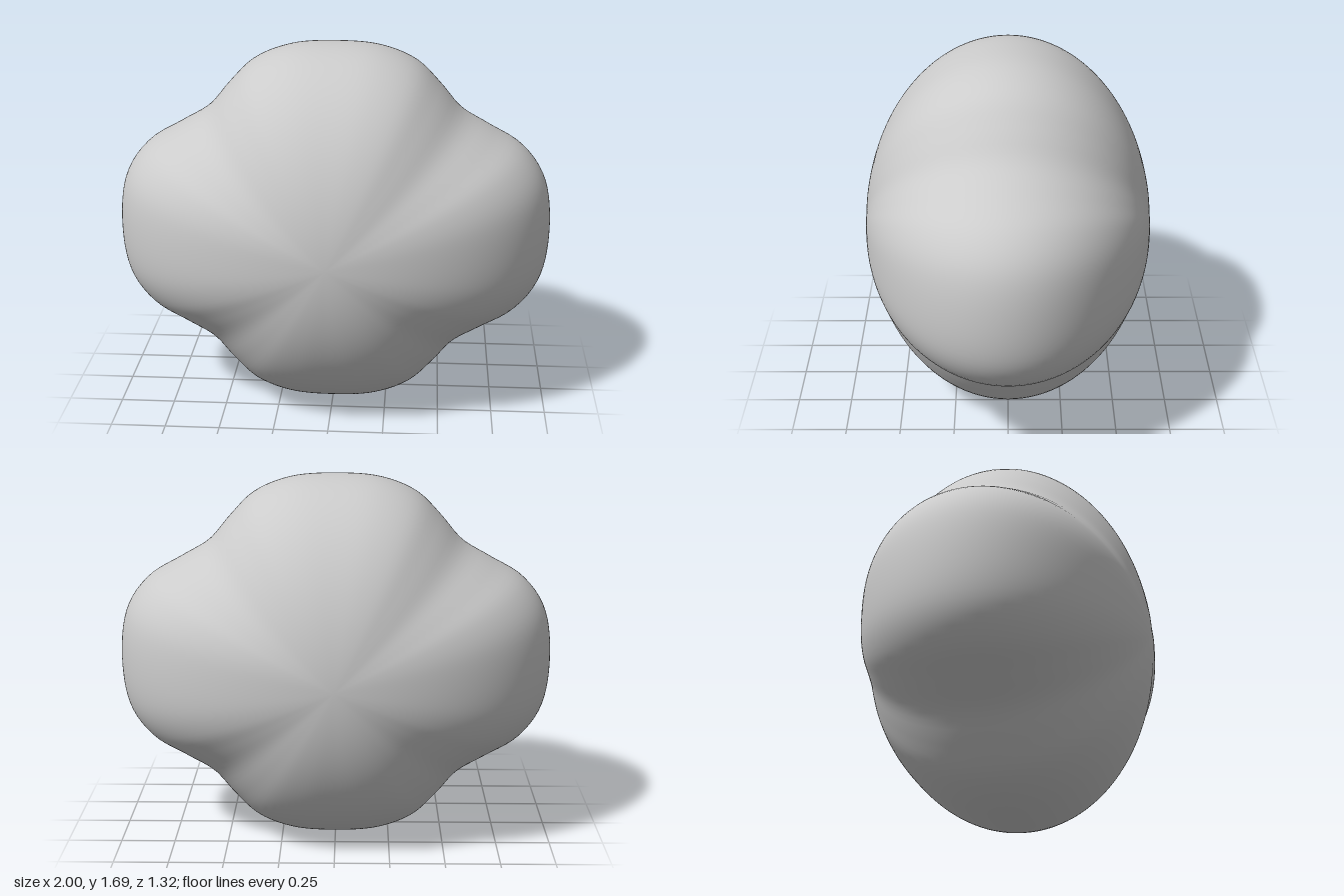
import * as THREE from 'three';
import { mergeVertices } from 'three/addons/utils/BufferGeometryUtils.js';

const HALF_HEIGHT = 0.846;
const HALF_DEPTH = 0.66;

// One quarter of the four-lobed outline, from the side lobe tip to the top lobe tip
const QUARTER = [
  [1, 0], [0.967, 0.23], [0.87, 0.367], [0.72, 0.458], [0.585, 0.54],
  [0.485, 0.655], [0.375, 0.762], [0.21, 0.829], [0, HALF_HEIGHT],
];

// Mirror the quarter into a closed, counter-clockwise curve
function lobedOutline() {
  const mirror = (pts, sx, sy) => pts.map(([x, y]) => [x * sx, y * sy]);
  const back = [...QUARTER].reverse();
  const loop = [
    ...QUARTER.slice(0, -1),
    ...mirror(back, -1, 1).slice(0, -1),
    ...mirror(QUARTER, -1, -1).slice(0, -1),
    ...mirror(back, 1, -1).slice(0, -1),
  ];
  return new THREE.CatmullRomCurve3(loop.map(([x, y]) => new THREE.Vector3(x, y, 0)), true);
}

// Sphere with its poles on z, each ring reshaped to a scaled copy of the outline
function lobedBody() {
  const segments = 160;
  const outline = lobedOutline();
  outline.arcLengthDivisions = 800;
  const ring = outline.getSpacedPoints(segments);

  const geometry = new THREE.SphereGeometry(1, segments, 96);
  geometry.rotateX(Math.PI / 2);
  const { position, uv } = geometry.attributes;
  for (let i = 0; i < position.count; i++) {
    const scale = Math.hypot(position.getX(i), position.getY(i));
    const p = ring[Math.min(segments, Math.max(0, Math.round(uv.getX(i) * segments))) % segments];
    position.setXYZ(i, p.x * scale, p.y * scale, position.getZ(i) * HALF_DEPTH);
  }

  // Weld the seam and poles so the shading is smooth all round
  geometry.deleteAttribute('uv');
  geometry.deleteAttribute('normal');
  const welded = mergeVertices(geometry, 1e-5);
  welded.computeVertexNormals();
  return welded;
}

export function createModel() {
  const group = new THREE.Group();
  group.name = 'lobedBlob';
  const body = new THREE.Mesh(lobedBody(), new THREE.MeshStandardMaterial({ color: 0xcccccc }));
  body.name = 'body';
  body.position.y = HALF_HEIGHT;
  group.add(body);
  return group;
}
